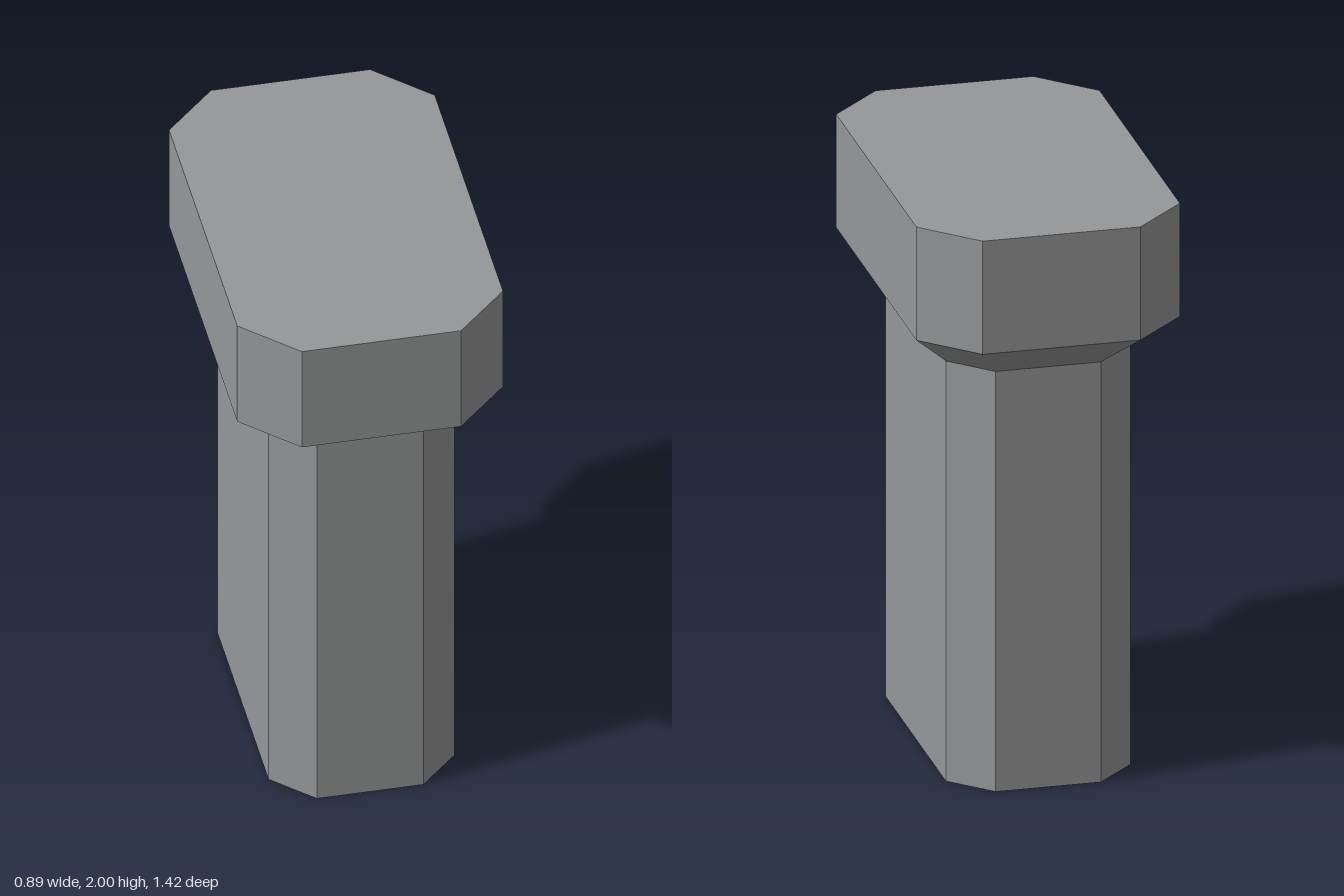
import * as THREE from 'three';

// Chamfered rectangle at height y, running from the front round to the +x side
function ring(halfX, halfZ, chamfer, y) {
  const a = halfX - chamfer, b = halfZ - chamfer;
  return [
    [-a, halfZ], [a, halfZ], [halfX, b], [halfX, -b],
    [a, -halfZ], [-a, -halfZ], [-halfX, -b], [-halfX, b],
  ].map(([x, z]) => new THREE.Vector3(x, y, z));
}

// Band of walls joining two rings
function band(lower, upper, smooth) {
  const n = lower.length, index = [];
  for (let i = 0; i < n; i++) {
    const j = (i + 1) % n;
    index.push(i, j, n + j, i, n + j, n + i);
  }
  return finish([...lower, ...upper], index, smooth);
}

// Flat lid over a ring
function lid(points) {
  const index = [];
  for (let i = 1; i < points.length - 1; i++) index.push(0, i, i + 1);
  return finish(points, index, false);
}

function finish(points, index, smooth) {
  let geometry = new THREE.BufferGeometry().setFromPoints(points);
  geometry.setIndex(index);
  if (!smooth) geometry = geometry.toNonIndexed();
  geometry.computeVertexNormals();
  return geometry;
}

export function createModel() {
  const group = new THREE.Group();
  group.name = 'pillar';
  const stone = new THREE.MeshStandardMaterial({ color: 0x969798, side: THREE.DoubleSide });
  stone.name = 'grey stone';

  const foot = ring(0.311, 0.533, 0.133, 0);
  const neck = ring(0.311, 0.533, 0.133, 1.47);
  const headBottom = ring(0.444, 0.711, 0.178, 1.604);
  const headTop = ring(0.444, 0.711, 0.178, 2);

  const add = (name, geometry) => {
    const mesh = new THREE.Mesh(geometry, stone);
    mesh.name = name;
    group.add(mesh);
  };

  // Hollow shaft, open at the foot
  add('shaft', band(foot, neck, false));
  // Softly shaded flare under the head
  add('flare', band(neck, headBottom, true));
  // Head walls and flat top
  add('headWalls', band(headBottom, headTop, false));
  add('headTop', lid(headTop));
  return group;
}
